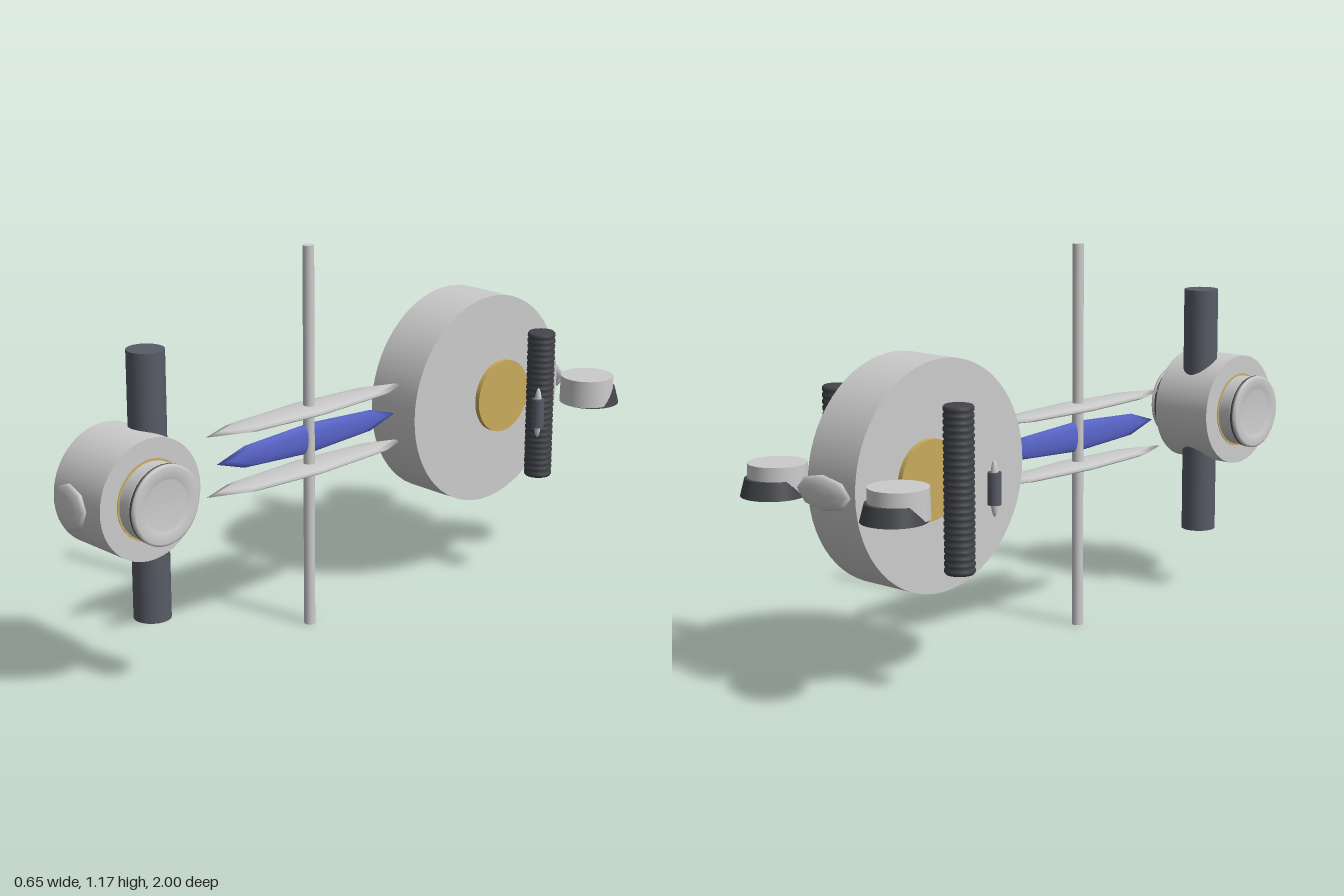
import * as THREE from 'three';

const grey = new THREE.MeshStandardMaterial({ color: 0xcccccc });
const paint = (color) => { const m = new THREE.MeshStandardMaterial(); m.color.set(color); return m; };
const gold = paint(0xc9ab5c), blue = paint(0x5a66cc), steel = paint(0x585c66), dark = paint(0x43454a);

export function createModel() {
  const model = new THREE.Group();
  const Y = 0.59; // height of the long axis

  const add = (name, geometry, material, x, y, z) => {
    const mesh = new THREE.Mesh(geometry, material);
    mesh.name = name;
    mesh.position.set(x, y, z);
    model.add(mesh);
    return mesh;
  };
  // cylinder lying along x
  const drum = (name, r, width, material, x, z) =>
    add(name, new THREE.CylinderGeometry(r, r, width, 64).rotateZ(Math.PI / 2), material, x, Y, z);
  // flattened eight-sided ellipsoid, with its poles along the thin axis
  const blade = (name, rx, ry, rz, material, y, z) => {
    const g = new THREE.SphereGeometry(1, 8, 6);
    if (rx < ry) g.rotateZ(Math.PI / 2);
    else if (rz < ry) g.rotateX(Math.PI / 2);
    return add(name, g.scale(rx, ry, rz), material, 0, y, z);
  };

  // rear wheel with its gold core
  drum('rearWheel', 0.33, 0.185, grey, 0, -0.58);
  drum('wheelCore', 0.115, 0.216, gold, 0, -0.637);

  // front hub and its gold collar
  drum('frontHub', 0.175, 0.204, grey, 0, 0.785);
  drum('hubCollar', 0.117, 0.208, gold, 0, 0.785);

  // docking port on each side of the hub
  const port = [[0, 0.163], [0.072, 0.163], [0.076, 0.17], [0.108, 0.172], [0.115, 0.167],
    [0.115, 0.16], [0.111, 0.157], [0.111, 0.15], [0.114, 0.146], [0.111, 0.142], [0.111, 0.1]]
    .reverse().map(([r, h]) => new THREE.Vector2(r, h));
  for (const s of [1, -1]) {
    add('hubPort', new THREE.LatheGeometry(port, 48).rotateZ(-s * Math.PI / 2), grey, 0, Y, 0.785);
    const seal = add('portSeal', new THREE.TorusGeometry(0.111, 0.004, 8, 48), dark, s * 0.154, Y, 0.785);
    seal.rotation.y = Math.PI / 2;
  }

  // tanks above and below the hub, as one long cylinder
  add('hubColumn', new THREE.CylinderGeometry(0.054, 0.054, 0.785, 40), steel, 0, 0.588, 0.71);

  // nose and tail plates
  blade('nosePlate', 0.069, 0.069, 0.018, grey, Y, 0.981);
  blade('tailPlate', 0.105, 0.05, 0.02, grey, Y, -0.938);

  // spine: two flat grey fins around an upright blue one
  for (const s of [1, -1]) blade('spineFin', 0.066, 0.013, 0.4, grey, Y + s * 0.09, 0.103);
  blade('spineCore', 0.012, 0.047, 0.36, blue, Y, 0.103);

  // tall mast
  add('mast', new THREE.CylinderGeometry(0.017, 0.017, 1.174, 16), grey, 0, 0.587, 0.103);

  // ribbed column profile
  const ribs = 25, h = 0.465;
  const ribbed = [new THREE.Vector2(0, 0), new THREE.Vector2(0.039, 0)];
  for (let i = 0; i < ribs; i++) {
    ribbed.push(new THREE.Vector2(0.043, (i + 0.3) / ribs * h), new THREE.Vector2(0.043, (i + 0.7) / ribs * h),
      new THREE.Vector2(0.039, (i + 1) / ribs * h));
  }
  ribbed.push(new THREE.Vector2(0, h));

  // mirrored free-standing parts beside the wheel
  for (const s of [1, -1]) {
    add('ribbedColumn', new THREE.LatheGeometry(ribbed, 32), dark, s * 0.236, 0.355, -0.662);
    add('sensorBody', new THREE.CylinderGeometry(0.019, 0.019, 0.09, 20), steel, s * 0.295, 0.587, -0.586);
    add('sensorTip', new THREE.SphereGeometry(1, 16, 10).scale(0.013, 0.079, 0.013), grey, s * 0.295, 0.587, -0.586);
    add('enginePod', new THREE.CylinderGeometry(0.083, 0.085, 0.085, 48), grey, s * 0.236, 0.592, -0.89);
    add('engineNozzle', new THREE.CylinderGeometry(0.078, 0.091, 0.05, 48), dark, s * 0.236, 0.57, -0.908);
  }
  return model;
}
